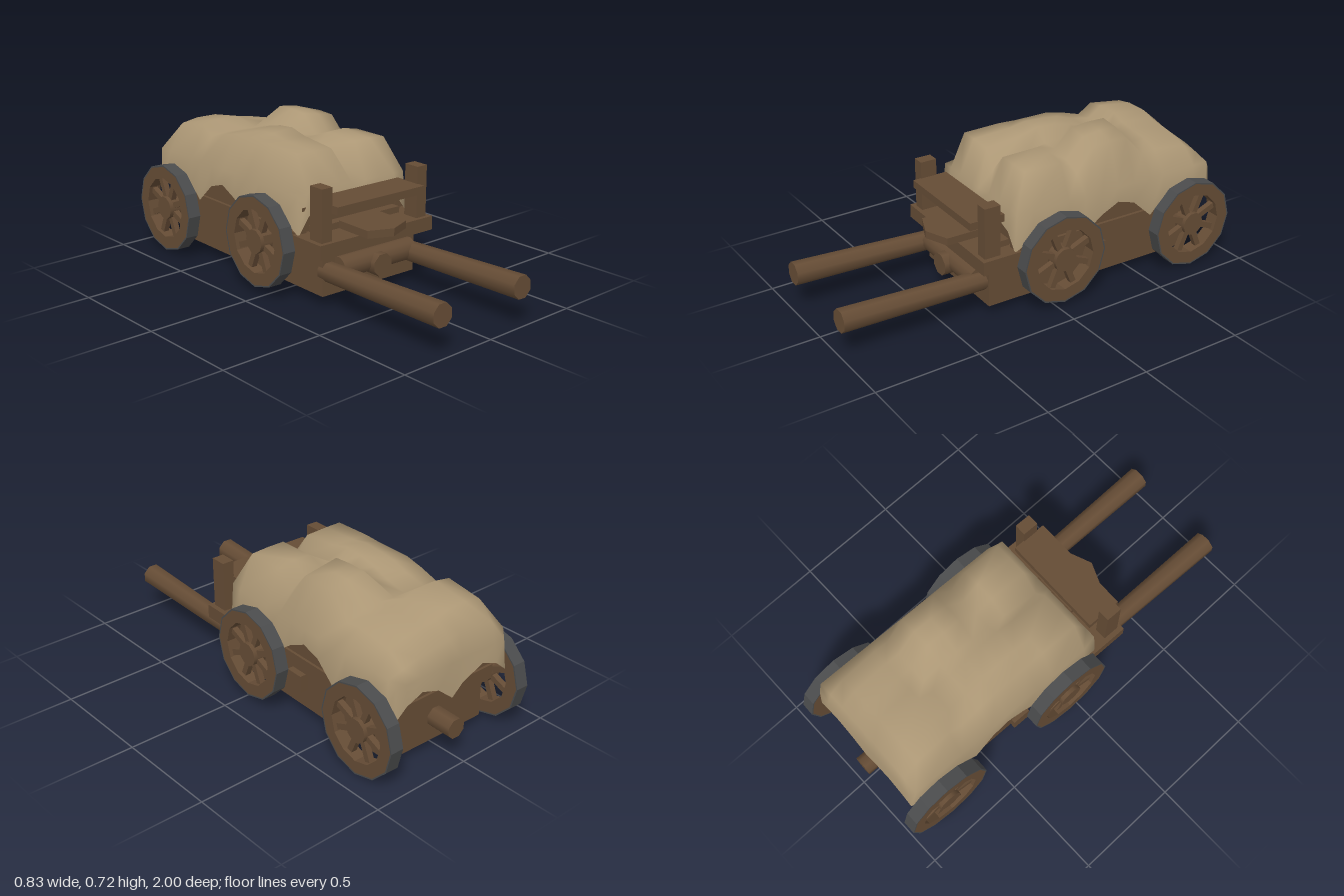
import * as THREE from 'three';

const wood = new THREE.MeshStandardMaterial({ color: 0x654c35 });
wood.name = 'wood';
const iron = new THREE.MeshStandardMaterial({ color: 0x4a4b4c });
iron.name = 'iron';
const canvas = new THREE.MeshStandardMaterial({ color: 0xac9775, side: THREE.DoubleSide });
canvas.name = 'canvas';

function add(parent, name, geometry, material, x = 0, y = 0, z = 0) {
  const mesh = new THREE.Mesh(geometry, material);
  mesh.name = name;
  mesh.position.set(x, y, z);
  parent.add(mesh);
  return mesh;
}

// Box given by its minimum and maximum on each axis
function box(parent, name, x0, x1, y0, y1, z0, z1) {
  return add(parent, name, new THREE.BoxGeometry(x1 - x0, y1 - y0, z1 - z0), wood,
    (x0 + x1) / 2, (y0 + y1) / 2, (z0 + z1) / 2);
}

// Round pole between two points, optionally tapered
function pole(parent, name, a, b, radius, sides = 8, endRadius = radius) {
  const from = new THREE.Vector3(...a), to = new THREE.Vector3(...b);
  const dir = to.clone().sub(from);
  const geometry = new THREE.CylinderGeometry(endRadius, radius, dir.length(), sides).rotateY(Math.PI / sides);
  const mesh = add(parent, name, geometry, wood);
  mesh.position.copy(from).add(to).multiplyScalar(0.5);
  mesh.quaternion.setFromUnitVectors(new THREE.Vector3(0, 1, 0), dir.normalize());
  return mesh;
}

function ring(points, segments) {
  const g = new THREE.LatheGeometry(points.map(p => new THREE.Vector2(...p)), segments).toNonIndexed();
  g.computeVertexNormals();
  return g;
}

// Spoked wheel, axle along local y
function makeWheel(name) {
  const wheel = new THREE.Group();
  wheel.name = name;
  const R = 0.216, t = 0.209, r = 0.15, w = 0.032;
  add(wheel, 'tyre', ring([[t, -w], [R, -w], [R, w], [t, w]], 12), iron);
  add(wheel, 'rim', ring([[t, w], [r, w], [r, -w], [t, -w]], 12), wood);
  add(wheel, 'hub', new THREE.CylinderGeometry(0.057, 0.057, 0.066, 10), wood);
  for (let i = 0; i < 8; i++) {
    const a = (i + 0.5) * Math.PI / 4;
    const spoke = add(wheel, 'spoke', new THREE.BoxGeometry(0.12, 0.028, 0.028), wood,
      Math.cos(a) * 0.1, 0, -Math.sin(a) * 0.1);
    spoke.rotation.y = a;
  }
  wheel.rotation.z = Math.PI / 2;
  return wheel;
}

// Draped cover: a lumpy top grid with a scalloped skirt round its edge
function makeCover() {
  const xs = [-0.255, -0.17, -0.06, 0, 0.08, 0.17, 0.255];
  const rows = [ // z, then heights across
    [0.09, 0.65, 0.65, 0.645, 0.56, 0.655, 0.655, 0.65],
    [-0.10, 0.655, 0.66, 0.665, 0.60, 0.66, 0.665, 0.65],
    [-0.19, 0.65, 0.675, 0.687, 0.625, 0.63, 0.61, 0.575],
    [-0.28, 0.65, 0.67, 0.68, 0.63, 0.715, 0.70, 0.685],
    [-0.37, 0.65, 0.66, 0.66, 0.64, 0.722, 0.71, 0.69],
    [-0.46, 0.63, 0.63, 0.63, 0.64, 0.72, 0.71, 0.685],
    [-0.56, 0.60, 0.61, 0.61, 0.61, 0.62, 0.61, 0.58],
    [-0.63, 0.645, 0.66, 0.66, 0.635, 0.625, 0.615, 0.59],
    [-0.81, 0.62, 0.635, 0.635, 0.615, 0.605, 0.59, 0.565],
    [-0.89, 0.54, 0.56, 0.565, 0.55, 0.54, 0.53, 0.51],
  ];
  const nx = xs.length + 2, nz = rows.length + 2;
  const pos = [], index = [];
  for (let j = 0; j < nz; j++) {
    for (let i = 0; i < nx; i++) {
      const endRow = j === 0 || j === nz - 1, side = i === 0 || i === nx - 1;
      const z = j === 0 ? 0.165 : j === nz - 1 ? -0.915 : rows[j - 1][0];
      let x = i === 0 ? -0.327 : i === nx - 1 ? 0.33 : xs[i - 1];
      if (endRow && side) x *= 0.95;
      const y = endRow || side ? (j === nz - 1 ? 0.45 : 0.49) : rows[j - 1][i];
      pos.push(x, y, z);
      if (i && j) {
        const d = j * nx + i, c = d - 1, b = d - nx, a = b - 1;
        index.push(a, b, c, b, d, c);
      }
    }
  }
  // Perimeter loop: front, left side, back, right side
  const loop = [];
  for (let i = 0; i < nx - 1; i++) loop.push(i);
  for (let j = 0; j < nz - 1; j++) loop.push(j * nx + nx - 1);
  for (let i = nx - 1; i > 0; i--) loop.push((nz - 1) * nx + i);
  for (let j = nz - 1; j > 0; j--) loop.push(j * nx);
  const base = pos.length / 3;
  loop.forEach((v, k) => {
    const x = pos[v * 3], z = pos[v * 3 + 2];
    const side = v % nx === 0 || v % nx === nx - 1;
    let y;
    if (side) y = 0.3 + 0.12 * Math.abs(Math.sin(Math.PI * (z + 0.2) / 0.36));
    else if (z > 0) y = 0.3 + 0.14 * Math.sqrt(Math.cos(Math.PI * x / 0.68));
    else y = 0.29 + 0.1 * Math.abs(Math.sin(Math.PI * x / 0.33));
    pos.push(x * 1.02, y, z > 0.1 ? z + 0.012 : z < -0.9 ? z - 0.012 : z);
    const n = (k + 1) % loop.length;
    index.push(v, base + k, loop[n], loop[n], base + k, base + n);
  });
  const g = new THREE.BufferGeometry();
  g.setAttribute('position', new THREE.Float32BufferAttribute(pos, 3));
  g.setIndex(index);
  g.computeVertexNormals();
  return g;
}

export function createModel() {
  const model = new THREE.Group();
  model.name = 'coveredCart';
  // The cart stands slightly turned and tipped
  const tilt = new THREE.Group();
  tilt.name = 'cart';
  tilt.position.z = -0.41;
  tilt.rotation.set(0, -0.027, -0.007);
  model.add(tilt);
  const cart = new THREE.Group();
  cart.name = 'cartBody';
  cart.position.z = 0.41;
  tilt.add(cart);

  // Chassis: open frame under the bed
  box(cart, 'frontBoard', -0.27, 0.275, 0.046, 0.245, 0.25, 0.285);
  box(cart, 'backBoard', -0.27, 0.275, 0.046, 0.245, -0.84, -0.805);
  for (const x of [-0.255, 0.26]) {
    box(cart, 'sideBoard', x - 0.015, x + 0.015, 0.046, 0.245, -0.805, 0.25);
  }
  box(cart, 'crossBeam', -0.317, 0.317, 0.142, 0.226, -0.32, -0.23);
  pole(cart, 'centrePole', [0.005, 0.158, -0.965], [0, 0.16, 0.38], 0.048, 8, 0.055);
  pole(cart, 'frontRoller', [-0.2, 0.172, 0.305], [0.225, 0.172, 0.305], 0.053, 12);

  // Bed: floor and planked walls
  box(cart, 'bedFloor', -0.3, 0.3, 0.24, 0.275, -0.86, 0.17);
  for (const [y0, y1, inset] of [[0.24, 0.308, 0], [0.312, 0.43, 0.008]]) {
    const h = 0.3 - inset;
    for (const s of [-1, 1]) {
      const x = s * (h - 0.0125);
      box(cart, 'bedSide', x - 0.0125, x + 0.0125, y0, y1, -0.86, 0.17);
    }
    box(cart, 'bedFront', -h, h, y0, y1, 0.14, 0.165 - inset);
    box(cart, 'bedBack', -h, h, y0, y1, -0.87 + inset, -0.84);
  }

  // Driver's platform, posts and bench
  box(cart, 'platform', -0.333, 0.333, 0.246, 0.312, 0.15, 0.345);
  box(cart, 'platformSill', -0.25, 0.25, 0.31, 0.342, 0.165, 0.21);
  for (const s of [-1, 1]) box(cart, 'post', s * 0.28 - 0.029, s * 0.28 + 0.029, 0.31, 0.555, 0.245, 0.325);
  box(cart, 'bench', -0.255, 0.255, 0.438, 0.475, 0.192, 0.365);

  // Footrest with a pointed front edge
  const foot = new THREE.Shape();
  [[-0.115, -0.21], [0.115, -0.21], [0.115, -0.4], [0, -0.447], [-0.115, -0.4]]
    .forEach(([x, y], i) => (i ? foot.lineTo(x, y) : foot.moveTo(x, y)));
  const rest = add(cart, 'footrest',
    new THREE.ExtrudeGeometry(foot, { depth: 0.036, bevelEnabled: false }), wood, 0, 0.313, 0);
  rest.rotation.x = -Math.PI / 2;

  // Draught shafts
  pole(cart, 'rightShaft', [-0.235, 0.156, 0.26], [-0.239, 0.18, 0.99], 0.046, 8, 0.055);
  pole(cart, 'leftShaft', [0.223, 0.158, 0.26], [0.231, 0.182, 0.99], 0.046, 8, 0.055);

  // Wheels and axles
  for (const [end, y, z] of [['front', 0.243, -0.042], ['rear', 0.22, -0.775]]) {
    pole(cart, end + 'Axle', [-0.34, y, z], [0.34, y, z], 0.028);
    for (const s of [-1, 1]) {
      const wheel = makeWheel(end + (s > 0 ? 'LeftWheel' : 'RightWheel'));
      wheel.position.set(s * 0.366, y, z);
      cart.add(wheel);
    }
  }

  add(cart, 'canvasCover', makeCover(), canvas);
  return model;
}
